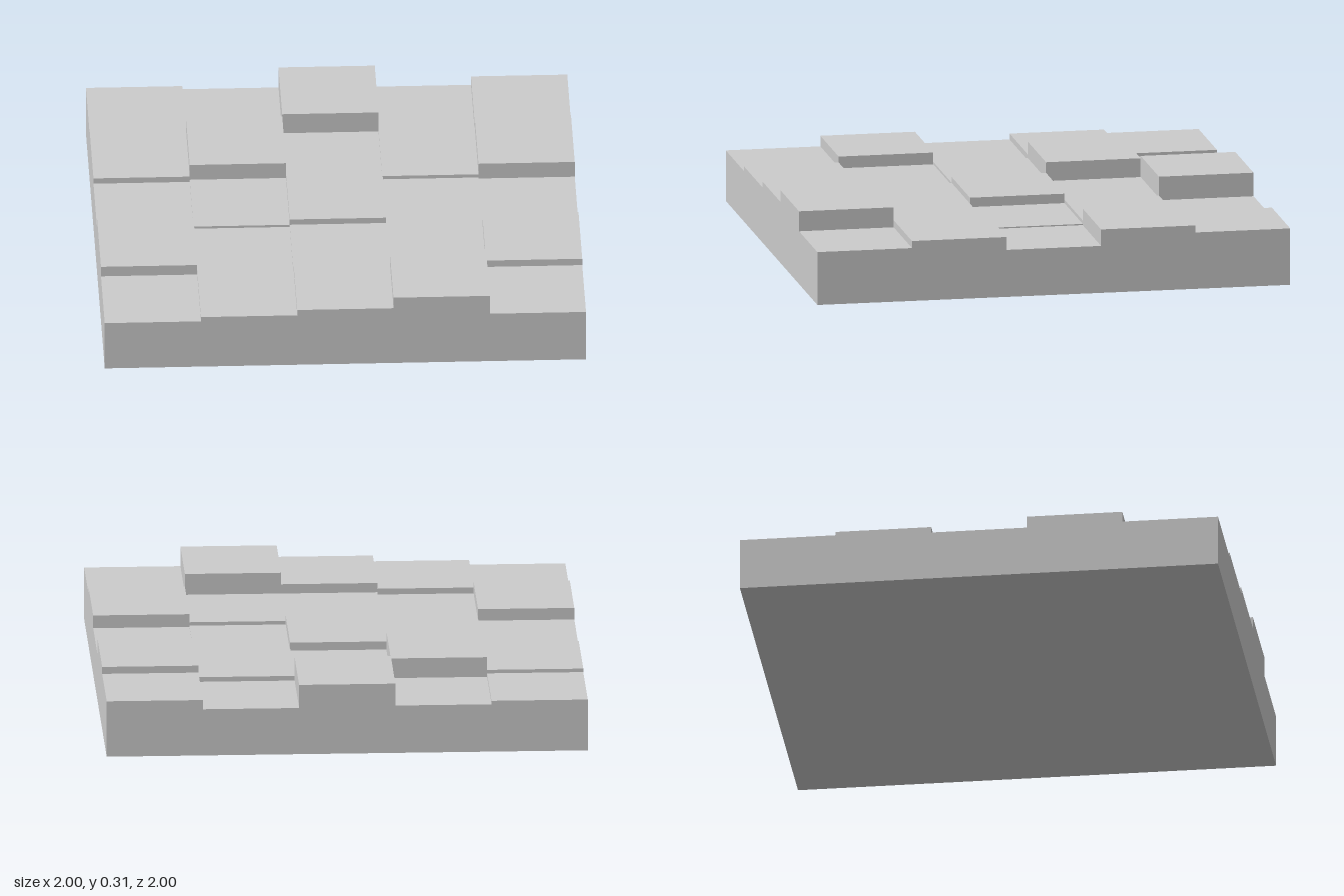
import * as THREE from 'three';

// Tile heights: rows run from the back (-z) to the front (+z), columns from -x to +x
const HEIGHTS = [
  [0.22, 0.205, 0.30, 0.20, 0.24],
  [0.235, 0.29, 0.21, 0.22, 0.27],
  [0.21, 0.22, 0.245, 0.205, 0.20],
  [0.26, 0.21, 0.22, 0.22, 0.255],
  [0.215, 0.235, 0.26, 0.31, 0.225],
];
const TILE = 0.4;
const BASE = 0.18;

export function createModel() {
  const model = new THREE.Group();
  model.name = 'tiledFloor';
  const material = new THREE.MeshStandardMaterial({ color: 0xcccccc, flatShading: true });

  const addBlock = (name, width, bottom, top, x, z) => {
    const mesh = new THREE.Mesh(new THREE.BoxGeometry(width, top - bottom, width), material);
    mesh.position.set(x, (bottom + top) / 2, z);
    mesh.name = name;
    model.add(mesh);
  };

  // Solid slab under the tiles
  addBlock('baseSlab', 2, 0, BASE, 0, 0);

  // Uneven square paving tiles
  HEIGHTS.forEach((row, r) => row.forEach((top, c) => {
    addBlock(`tileRow${r + 1}Column${c + 1}`, TILE, BASE, top, (c - 2) * TILE, (r - 2) * TILE);
  }));

  return model;
}
